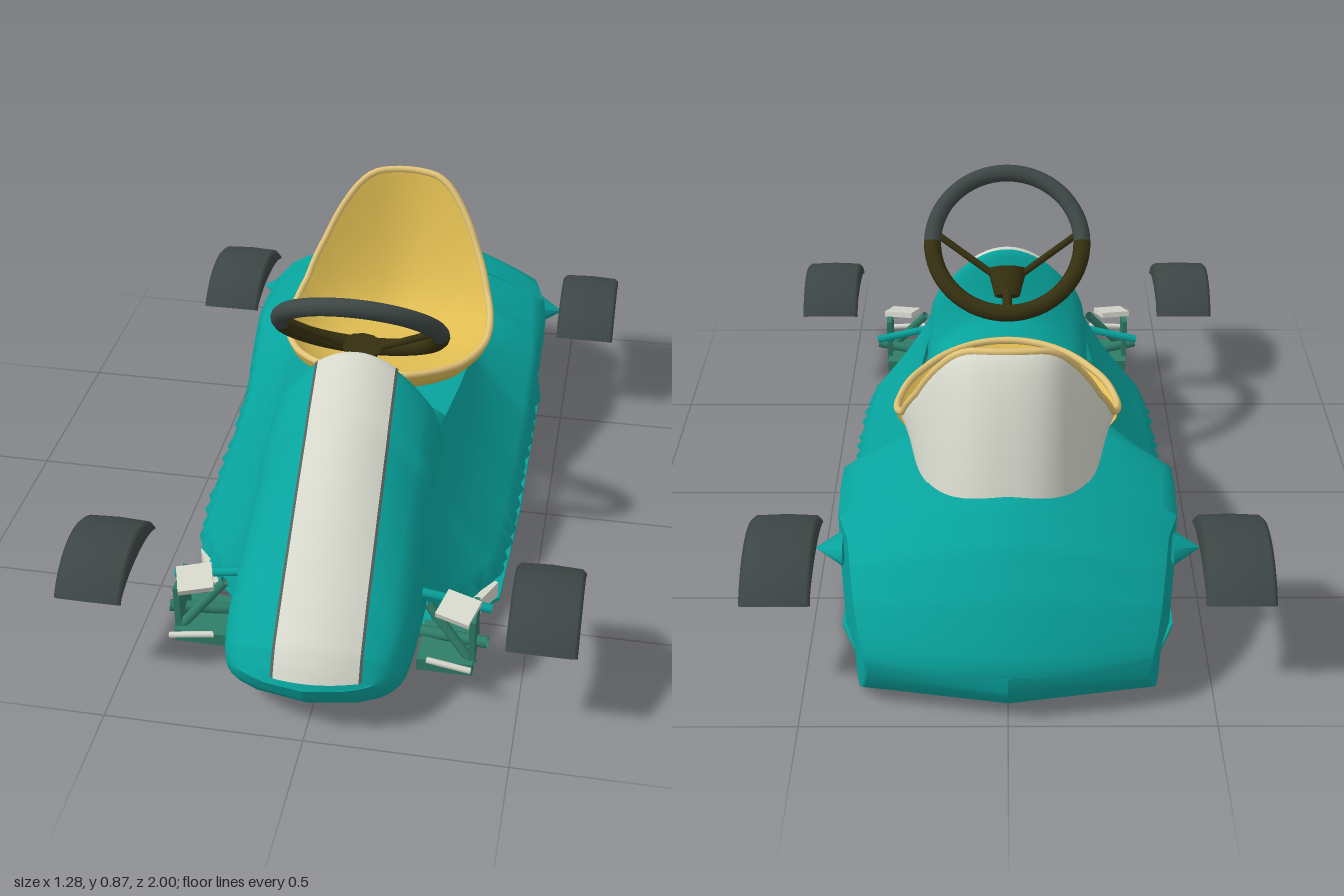
import * as THREE from 'three';

const mat = (name, color) => {
  const m = new THREE.MeshStandardMaterial({ color, side: THREE.DoubleSide });
  m.name = name;
  return m;
};

// Linear lookup in a table whose first column falls from row to row
function lookup(table, z) {
  let i = 0;
  while (i < table.length - 2 && z < table[i + 1][0]) i++;
  const a = table[i], b = table[i + 1];
  const k = Math.min(1, Math.max(0, (a[0] - z) / (a[0] - b[0])));
  return a.map((v, j) => v + (b[j] - v) * k);
}

// Smooth surface through rows of points
function surface(rows) {
  const n = rows[0].length, idx = [];
  for (let r = 0; r < rows.length - 1; r++)
    for (let c = 0; c < n - 1; c++) {
      const a = r * n + c;
      idx.push(a, a + 1, a + n, a + 1, a + n + 1, a + n);
    }
  const g = new THREE.BufferGeometry();
  g.setAttribute('position', new THREE.Float32BufferAttribute(rows.flat(2), 3));
  g.setIndex(idx);
  g.computeVertexNormals();
  return g;
}

const steps = (n, a, b) => Array.from({ length: n + 1 }, (_, i) => a + (b - a) * i / n);
const mirrorRow = (half) => [...half.slice(1).reverse().map(([x, y, z]) => [-x, y, z]), ...half];

// Nose: z, half width, top, bottom
const NOSE = [
  [1, 0.16, 0.17, 0.166], [0.985, 0.19, 0.2, 0.125], [0.95, 0.213, 0.245, 0.085], [0.88, 0.228, 0.29, 0.055],
  [0.75, 0.237, 0.37, 0.035], [0.6, 0.24, 0.465, 0.022], [0.45, 0.24, 0.555, 0.016], [0.42, 0.24, 0.572, 0.12],
  [0.27, 0.235, 0.66, 0.12], [0.255, 0.235, 0.65, 0.12], [0.235, 0.235, 0.58, 0.12], [0.2, 0.24, 0.49, 0.12],
  [0.14, 0.24, 0.45, 0.12], [0, 0.24, 0.38, 0.12]];
const crown = (f) => 1 - 0.37 * f * f;
const NOSE_SIDE = [[0.93, 0.64], [0.98, 0.5], [1, 0.34], [0.985, 0.2], [0.93, 0.1], [0.82, 0.04], [0.6, 0.008], [0, 0]];
// Rounds the nose tip in plan
const bow = (x, z) => z - Math.max(0, (z - 0.8) / 0.2) * 0.07 * (x / 0.2) ** 2;

// Side pods: z, inner x, inner y, outer x, outer y, lower edge y, roundness
const PODS = [
  [0.62, 0.22, 0.30, 0.25, 0.14, 0.10, 1], [0.5, 0.22, 0.36, 0.34, 0.13, 0.09, 0.9],
  [0.4, 0.22, 0.4, 0.40, 0.13, 0.09, 0.8], [0.2, 0.22, 0.43, 0.415, 0.14, 0.1, 0.72],
  [0, 0.24, 0.42, 0.415, 0.16, 0.12, 0.75], [-0.2, 0.25, 0.4, 0.42, 0.2, 0.13, 0.9],
  [-0.33, 0.25, 0.42, 0.425, 0.3, 0.17, 1.4], [-0.39, 0.22, 0.45, 0.425, 0.345, 0.28, 1.5],
  [-0.48, 0.1, 0.47, 0.425, 0.35, 0.29, 1.5], [-0.62, 0, 0.49, 0.42, 0.35, 0.29, 1.5]];

// Tail: z, top, edge height, half width, bottom
const TAIL = [
  [-0.62, 0.49, 0.35, 0.42, 0.01], [-0.75, 0.485, 0.355, 0.39, 0.01], [-0.85, 0.42, 0.32, 0.378, 0.01],
  [-0.93, 0.32, 0.265, 0.366, 0.02], [-0.975, 0.235, 0.21, 0.355, 0.055], [-1, 0.18, 0.165, 0.343, 0.11],
  [-1.001, 0.15, 0.15, 0.343, 0.149]];

// Seat rim height by z
const RIM = [[0.07, 0.47], [-0.05, 0.45], [-0.2, 0.445], [-0.3, 0.465], [-0.37, 0.5], [-0.45, 0.6],
  [-0.5, 0.69], [-0.54, 0.763], [-0.555, 0.78], [-0.57, 0.785]];
function seatPoint(a, s, drop = 0) {
  const y = lookup(RIM, -0.25 - 0.32 * Math.sin(a))[1];
  return [0.29 * s * Math.cos(a), 0.37 + (y - 0.37) * s ** 4 - drop, -0.25 - 0.32 * s * Math.sin(a)];
}

export function createModel() {
  const teal = mat('teal paint', 0x08a39d), white = mat('off white', 0xd5d7cb), yellow = mat('seat yellow', 0xe0bd52);
  const rubber = mat('dark grey rubber', 0x3d4745), olive = mat('dark olive', 0x353010);
  const green = mat('grey green', 0x2f7d68), trim = mat('trim grey', 0x56615c);
  const piping = mat('pale seat edge', 0xe3c478), brown = mat('golden brown', 0x8a6a28);
  const model = new THREE.Group();
  const add = (name, geo, material, parent = model) => {
    const m = new THREE.Mesh(geo, material);
    m.name = name;
    parent.add(m);
    return m;
  };
  const rod = (name, a, b, r, material, parent = model) => add(name, new THREE.TubeGeometry(
    new THREE.LineCurve3(new THREE.Vector3(...a), new THREE.Vector3(...b)), 1, r, 8), material, parent);

  // Nose cowl
  const noseZ = [...steps(20, 1, 0.9), ...steps(60, 0.89, 0)];
  add('noseCowl', surface(noseZ.map((z) => {
    const [, w, t, b] = lookup(NOSE, z);
    const half = [...steps(10, 0, 0.85).map((f) => [f, crown(f)]), ...NOSE_SIDE];
    return mirrorRow(half.map(([f, v]) => [f * w, b + (t - b) * v, bow(f * w, z)]));
  })), teal);

  // Slightly skewed stripe with thin trim along both edges
  const stripe = (name, x0, x1, material, lift) => add(name, surface(steps(60, 0.995, 0.262).map((z) => {
    const [, w, t, b] = lookup(NOSE, z);
    return steps(10, x0, x1).map((dx) => {
      const x = dx + 0.04 * (z - 0.26);
      return [x, b + (t - b) * crown(Math.min(1, Math.abs(x / w))) + lift, bow(x, z)];
    });
  })), material);
  stripe('noseStripe', -0.102, 0.102, white, 0.006);
  stripe('stripeTrimRight', -0.109, -0.102, trim, 0.007);
  stripe('stripeTrimLeft', 0.102, 0.109, trim, 0.007);

  // Side pods with a torn lower edge
  for (const side of [1, -1]) {
    add(side > 0 ? 'leftPod' : 'rightPod', surface(steps(62, 0.62, -0.62).map((z, i) => {
      const [, ix, iy, ox, oy, low, e] = lookup(PODS, z);
      const tear = z > -0.38 && z < 0.55 ? Math.sin(i * 2.3) * 0.014 : 0;
      const row = steps(10, 0, 1).map((s) => [side * (ix + (ox - ix) * s), iy + (oy - iy) * s ** e, z]);
      return [...row, [side * (ox + 0.008 + tear), low + tear, z]];
    })), teal);
  }

  // Rounded tail
  add('tail', surface([...steps(30, -0.62, -1), -1.001].map((z) => {
    const [, t, edge, w, b] = lookup(TAIL, z);
    const half = steps(10, 0, 1).map((s) => [s * w, t + (edge - t) * s ** 1.6]);
    half.push([w, edge - 0.004], [w, (edge + b) / 2], [w * 0.99, b + 0.01 * (edge - b)], [w * 0.97, b], [0, b]);
    const bulge = Math.max(0, (-0.6 - z) / 0.4) * 0.07;
    return mirrorRow(half.map(([x, y]) => [x, y, Math.max(-1, z) + bulge * (x / 0.36) ** 2]));
  })), teal);

  // Floor pan
  const outline = [[0.21, 0.58], [0.26, 0.55], [0.41, 0.4], [0.425, 0], [0.425, -0.62], [0.37, -0.76], [0.2, -0.8]];
  const pan = new THREE.Shape([...outline, ...outline.slice().reverse().map(([x, z]) => [-x, z])]
    .map(([x, z]) => new THREE.Vector2(x, z)));
  const floor = add('floorPan', new THREE.ExtrudeGeometry(pan, { depth: 0.01, bevelEnabled: false }), teal);
  floor.rotation.x = Math.PI / 2;
  floor.position.y = 0.0155;

  // Seat: bowl, rim, front skirt and pale back shell
  const seat = new THREE.Group();
  seat.name = 'seat';
  model.add(seat);
  const round = steps(64, 0, Math.PI * 2);
  add('seatBowl', surface(steps(16, 0.001, 1).map((s) => round.map((a) => seatPoint(a, s)))), yellow, seat);
  const rimCurve = new THREE.CatmullRomCurve3(round.slice(0, -1).map((a) => new THREE.Vector3(...seatPoint(a, 1))), true);
  add('seatRim', new THREE.TubeGeometry(rimCurve, 96, 0.01, 8, true), piping, seat);
  const front = steps(40, Math.PI - 0.25, Math.PI * 2 + 0.25);
  add('seatSkirt', surface([[1.02, 0], [1.0, 0.025], [0.93, 0.03], [0.8, 0.01]].map(([s, d]) =>
    front.map((a) => seatPoint(a, s, d)))), yellow, seat);
  add('seatBack', surface(steps(14, 0, 1).map((s) => steps(40, 0.2, Math.PI - 0.2).map((a) => {
    const p = seatPoint(a, 1);
    const c = Math.cos(a);
    const q = [0.25 * Math.sign(c) * Math.abs(c) ** 0.75, 0.44, -0.32 - 0.43 * Math.sin(a)];
    return [p[0] + (q[0] - p[0]) * s, p[1] + (q[1] - p[1]) * s ** 1.5, p[2] - 0.004 + (q[2] - p[2]) * s];
  }))), white, seat);

  // Steering wheel, grey upper half and olive lower half
  const wheel = new THREE.Group();
  wheel.name = 'steeringWheel';
  wheel.position.set(0, 0.705, 0.215);
  wheel.rotation.x = 0.8;
  model.add(wheel);
  add('upperRim', new THREE.TorusGeometry(0.21, 0.024, 12, 32, Math.PI), rubber, wheel);
  add('lowerRim', new THREE.TorusGeometry(0.21, 0.024, 12, 32, Math.PI), olive, wheel).rotation.z = Math.PI;
  for (const s of [1, -1]) rod('spoke', [s * 0.205, 0.03, 0], [s * 0.04, -0.085, 0.03], 0.01, olive, wheel);
  rod('lowerSpoke', [0, -0.2, 0], [0, -0.1, 0.03], 0.013, olive, wheel);
  const hub = add('hub', new THREE.CylinderGeometry(0.055, 0.035, 0.08, 12), olive, wheel);
  hub.position.set(0, -0.11, 0.03);
  hub.scale.z = 0.6;
  rod('steeringColumn', [0, -0.1, 0.03], [0, -0.09, 0.14], 0.025, olive, wheel);

  // Upper tyre shells, each with a scrap of rim beneath
  const tyre = surface(steps(24, -0.98, 0.98).map((a) => {
    const low = 0.185 - 0.05 * (1 - (a / 0.98) ** 2);
    return [[-0.083, low], [-0.085, 0.184], [-0.075, 0.193], [0, 0.196], [0.075, 0.193], [0.085, 0.184], [0.083, low]]
      .map(([x, r]) => [x, r * Math.cos(a), r * Math.sin(a)]);
  }));
  const rimScrap = surface(steps(8, -0.4, 0.4).map((a) => [-0.075, -0.03].map((x) =>
    [x, 0.133 * Math.cos(a), 0.133 * Math.sin(a)])));
  for (const s of [1, -1]) {
    for (const [name, z, stretch] of [['front', 0.74, 1], ['rear', -0.71, 1.13]]) {
      const set = new THREE.Group();
      set.name = name + 'Wheel';
      set.position.set(s * 0.553, 0.17, z);
      set.scale.z = stretch;
      model.add(set);
      add(name + 'Tyre', tyre, rubber, set);
      add(name + 'RimScrap', rimScrap, brown, set).rotation.y = s > 0 ? 0 : Math.PI;
    }

    // Rear axle stub
    const stub = add('rearAxleStub', new THREE.ConeGeometry(0.06, 0.07, 8), teal);
    stub.position.set(s * 0.44, 0.29, -0.67);
    stub.rotation.z = -s * Math.PI / 2;
    stub.scale.x = 0.6;

    // Front suspension
    const arms = new THREE.Group();
    arms.name = 'frontSuspension';
    model.add(arms);
    rod('lowerArm', [s * 0.22, 0.1, 0.66], [s * 0.41, 0.12, 0.7], 0.015, green, arms);
    rod('upperArm', [s * 0.22, 0.21, 0.64], [s * 0.41, 0.17, 0.63], 0.012, teal, arms);
    rod('strut', [s * 0.26, 0.22, 0.7], [s * 0.38, 0.08, 0.74], 0.013, green, arms);
    rod('tieRod', [s * 0.27, 0.13, 0.8], [s * 0.38, 0.12, 0.81], 0.008, white, arms);
    add('lowerPlate', new THREE.BoxGeometry(0.14, 0.035, 0.15), green, arms).position.set(s * 0.31, 0.08, 0.69);
    add('upright', new THREE.BoxGeometry(0.015, 0.14, 0.1), green, arms).position.set(s * 0.375, 0.15, 0.7);
    const cap = add('bracketCap', new THREE.BoxGeometry(0.09, 0.016, 0.08), white, arms);
    cap.position.set(s * 0.335, 0.226, 0.71);
    cap.rotation.set(0.25, -s * 0.3, 0);
    const guard = add('lowerGuard', new THREE.BoxGeometry(0.02, 0.045, 0.15), white, arms);
    guard.position.set(s * 0.365, 0.058, 0.48);
    guard.rotation.y = -s * 0.45;
  }
  return model;
}
